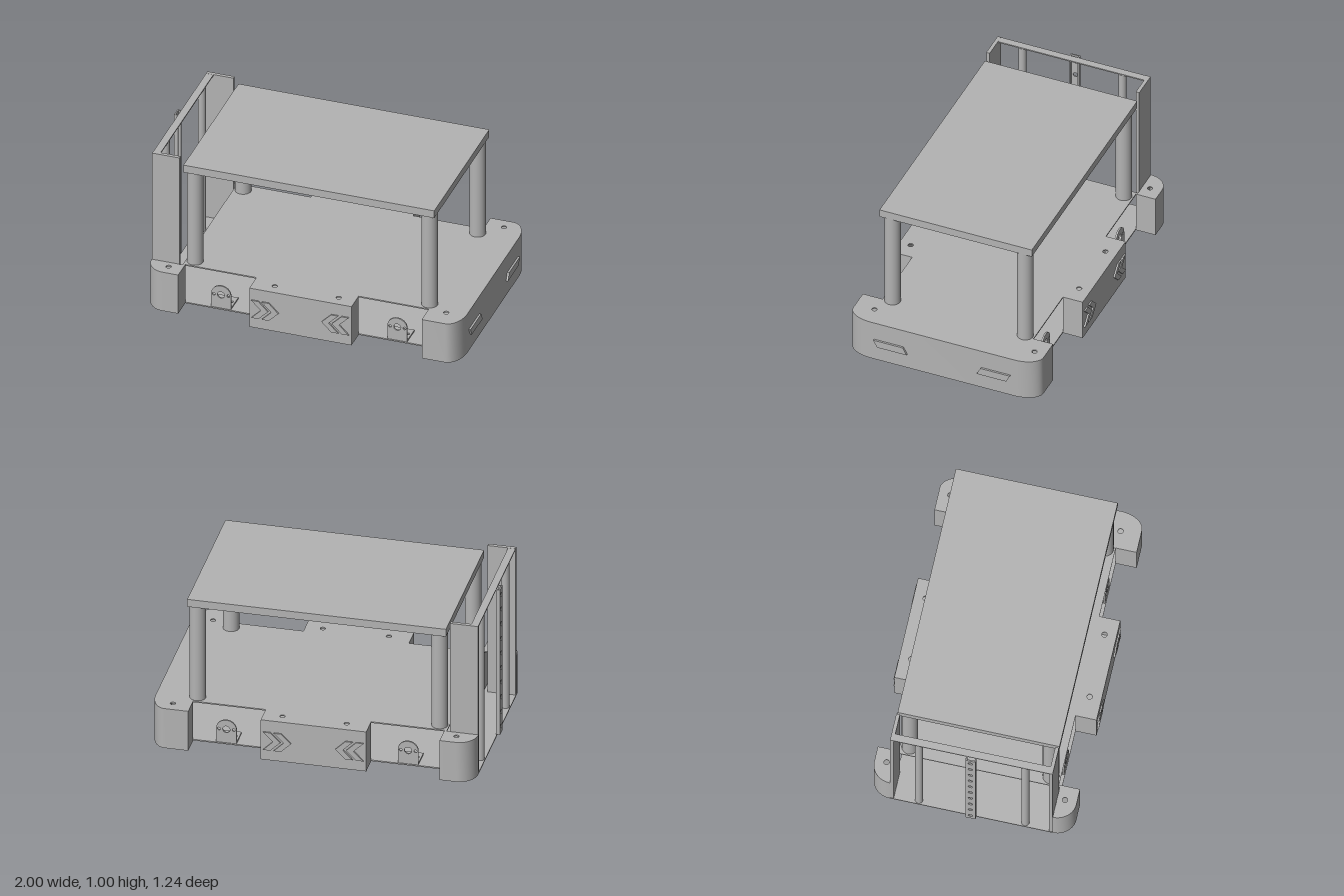
import * as THREE from 'three';
import { toCreasedNormals } from 'three/addons/utils/BufferGeometryUtils.js';

const grey = new THREE.MeshStandardMaterial({ color: 0xb3b3b3 });
grey.name = 'plain grey';

const V = (x, y) => new THREE.Vector2(x, y);
const mirrorZ = pts => pts.map(p => V(p.x, -p.y)).reverse();

export function createModel() {
  const model = new THREE.Group();

  const add = (name, geo, x = 0, y = 0, z = 0) => {
    const m = new THREE.Mesh(geo, grey);
    m.name = name;
    m.position.set(x, y, z);
    model.add(m);
    return m;
  };
  // Box given by its limits
  const box = (name, x0, x1, y0, y1, z0, z1) => add(name,
    new THREE.BoxGeometry(x1 - x0, y1 - y0, z1 - z0), (x0 + x1) / 2, (y0 + y1) / 2, (z0 + z1) / 2);
  const circle = (x, y, r) => new THREE.Path().absarc(x, y, r, 0, Math.PI * 2, true);
  const extrude = (pts, depth, holes = []) => {
    const s = new THREE.Shape(pts);
    s.holes.push(...holes);
    return new THREE.ExtrudeGeometry(s, { depth, bevelEnabled: false, curveSegments: 16 });
  };
  // Plan outline (x, z) raised upwards
  const raise = (name, pts, y0, y1, holes = []) => {
    const geo = extrude(pts.map(p => V(p.x, -p.y)), y1 - y0, holes.map(([x, z, r]) => circle(x, -z, r)));
    return add(name, toCreasedNormals(geo.rotateX(-Math.PI / 2), 0.5), 0, y0, 0);
  };
  // Thin wall following a plan path, thickened to the right of travel
  const wall = (name, pts, t, y0, y1) => {
    const inner = pts.map((p, i) => {
      const a = p.clone().sub(pts[Math.max(i - 1, 0)]).normalize();
      const b = pts[Math.min(i + 1, pts.length - 1)].clone().sub(p).normalize();
      const d = a.clone().add(b).normalize();
      const k = t / Math.max(0.5, d.dot(i ? a : b));
      return V(p.x + d.y * k, p.y - d.x * k);
    });
    return raise(name, [...pts, ...inner.reverse()], y0, y1);
  };
  // Quarter ellipse in plan
  const arc = (cx, cz, rx, rz, a0, a1) => Array.from({ length: 13 }, (_, i) => {
    const a = a0 + (a1 - a0) * i / 12;
    return V(cx + rx * Math.cos(a), cz + rz * Math.sin(a));
  });

  // Base outline, side z > 0, running from the rear post frame to the bumper
  const rearArc = arc(-0.868, 0.493, 0.11, 0.119, Math.PI, Math.PI / 2);
  const bumperArc = arc(0.898, 0.462, 0.09, 0.15, Math.PI / 2, 0);
  const rearCorner = [...rearArc, V(-0.77, 0.612), V(-0.77, 0.485)];
  const middle = [V(-0.325, 0.485), V(-0.325, 0.612), V(0.315, 0.612), V(0.315, 0.485)];
  const bumper = [V(0.755, 0.485), V(0.755, 0.612), ...bumperArc];
  const half = [...rearCorner, ...middle, ...bumper];
  const topHalf = [V(-0.785, 0.493), ...half];

  // Deck plates
  raise('bottomPlate', [...half, ...mirrorZ(half)], 0, 0.008);
  raise('topPlate', [...topHalf, ...mirrorZ(topHalf)], 0.259, 0.267, [
    [-0.855, 0.54, 0.016], [-0.855, -0.54, 0.016], [-0.19, 0.54, 0.016], [-0.19, -0.54, 0.016],
    [0.21, 0.54, 0.016], [0.2, -0.54, 0.016], [0.865, 0.49, 0.016], [0.865, -0.54, 0.016]]);

  // Skirt walls between the plates
  wall('bumperWall', [...bumper, ...mirrorZ(bumper)], 0.012, 0.008, 0.259);
  for (const f of [p => p, mirrorZ]) {
    wall('rearCornerWall', f(rearCorner), 0.012, 0.008, 0.259);
    wall('sideBoxWall', f(middle), 0.015, 0.008, 0.259);
  }

  for (const s of [1, -1]) {
    // Chevrons on the side boxes, pointing to the middle
    for (const [x0, d] of [[-0.31, 1], [0.3, -1]]) {
      for (const shift of [0, 0.065]) {
        const pts = [[0, 0.19], [0.045, 0.19], [0.105, 0.13], [0.045, 0.07], [0, 0.07], [0.06, 0.13]]
          .map(([x, y]) => V(x0 + d * (x + shift), y));
        add('chevron', extrude(pts, 0.009), 0, 0, s > 0 ? 0.612 : -0.621);
      }
    }

    // Slanted lamp on the bumper
    const lamp = [[0.44, 0.147], [0.25, 0.147], [0.225, 0.1], [0.415, 0.1]].map(([z, y]) => V(z * s, y));
    add('bumperLamp', extrude(lamp, 0.016).rotateY(-Math.PI / 2), 1, 0, 0);

    // Motor brackets: upright tab with holes and a foot
    for (const x of [-0.548, 0.555]) {
      const tab = [V(-0.062, 0.008), V(0.062, 0.008), ...arc(0, 0.1, 0.062, 0.06, 0, Math.PI)];
      add('motorBracket', extrude(tab, 0.01, [circle(0, 0.098, 0.022),
        circle(-0.045, 0.098, 0.009), circle(0.045, 0.098, 0.009)]), x, 0, s * 0.475 - 0.005);
      const z0 = 0.47 * s, z1 = 0.35 * s;
      raise('bracketFoot', [V(x - 0.062, z0), V(x + 0.062, z0), V(x + 0.062, z1), V(x - 0.062, z1)],
        0.008, 0.018, [[x, s * 0.405, 0.022], [x - 0.042, s * 0.405, 0.009], [x + 0.042, s * 0.405, 0.009]]);
    }

    // Table posts
    for (const x of [-0.728, 0.74]) {
      add('tablePost', new THREE.CylinderGeometry(0.049, 0.049, 0.64, 32), x, 0.586, s * 0.427);
    }

    // Rear frame side panels and rods
    box('rearPanel', -0.975, -0.805, 0.008, 1, s * 0.481 - 0.011, s * 0.481 + 0.011);
    add('rearRod', new THREE.CylinderGeometry(0.024, 0.024, 0.984, 24), -0.95, 0.5, s * 0.322);
    box('stripFlange', -0.992, -0.975, 0.015, 0.997, s * 0.027 - 0.004, s * 0.027 + 0.004);
  }

  // Table top and rear frame top bar
  box('tableTop', -0.78, 0.79, 0.905, 0.955, -0.49, 0.49);
  box('rearTopBar', -0.975, -0.93, 0.991, 0.999, -0.47, 0.47);

  // Perforated centre strip
  const holes = Array.from({ length: 10 }, (_, i) => circle(0, 0.06 + i * 0.099, 0.014));
  const strip = [V(-0.031, 0.015), V(0.031, 0.015), V(0.031, 0.997), V(-0.031, 0.997)];
  add('centreStrip', extrude(strip, 0.008, holes).rotateY(-Math.PI / 2), -0.992, 0, 0);

  return model;
}
